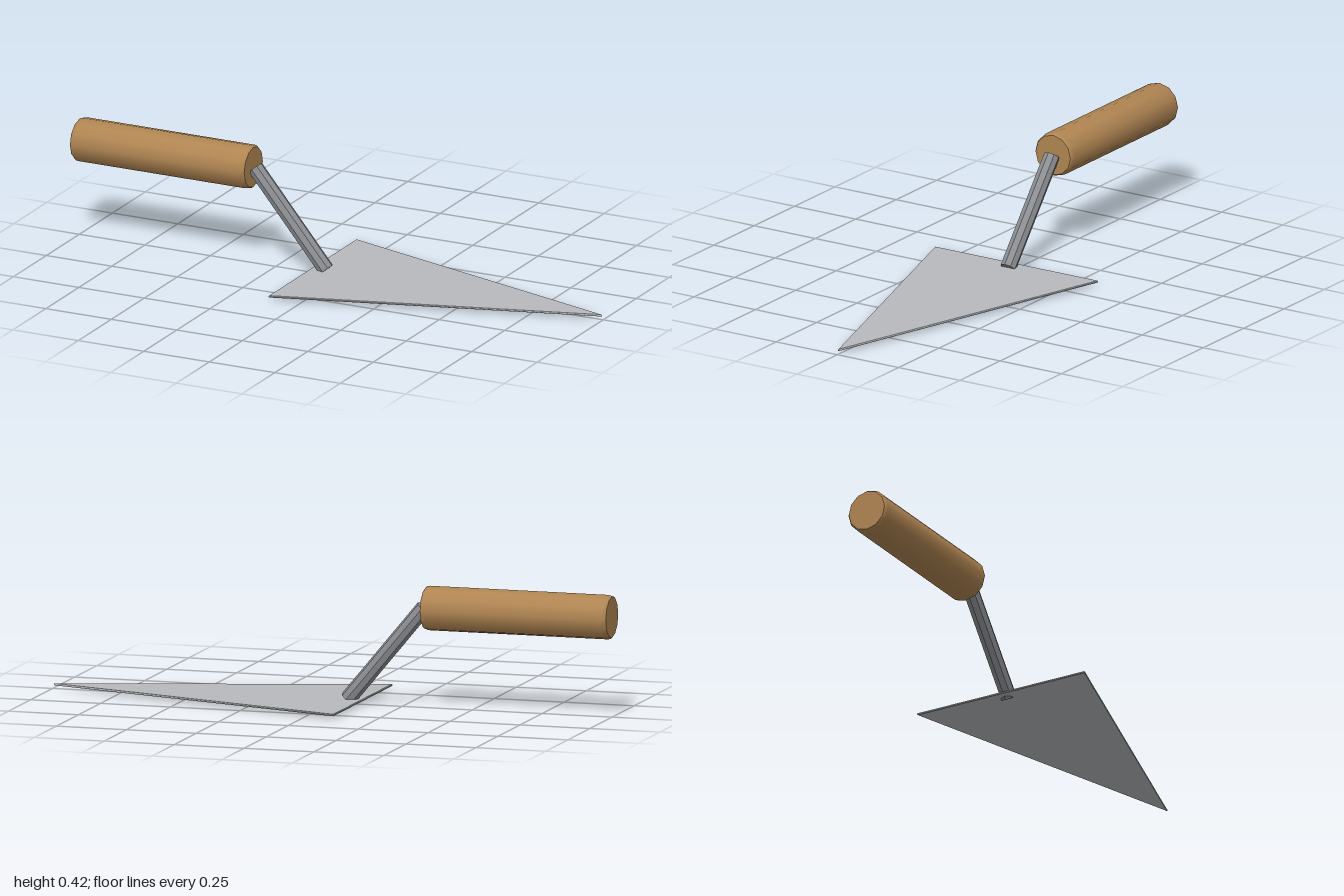
import * as THREE from 'three';
import { toCreasedNormals } from 'three/addons/utils/BufferGeometryUtils.js';

export function createModel() {
  const trowel = new THREE.Group();
  trowel.name = 'trowel';
  const material = (name, color) => {
    const m = new THREE.MeshStandardMaterial({ color });
    m.name = name;
    return m;
  };
  const wood = material('wood', 0xb08552);
  const bladeSteel = material('blade steel', 0xb8b9bc);
  const shankSteel = material('shank steel', 0x8c8e92);
  const add = (name, geometry, mat) => {
    const mesh = new THREE.Mesh(geometry, mat);
    mesh.name = name;
    trowel.add(mesh);
    return mesh;
  };

  // Handle: twelve-sided wooden grip with softened ends, lying along x
  const length = 0.665, radius = 0.077, bevel = 0.015;
  const profile = [
    [0, 0], [radius - 0.006, 0], [radius - 0.0015, bevel * 0.4], [radius, bevel],
    [radius, length - bevel], [radius - 0.0015, length - bevel * 0.4], [radius - 0.006, length], [0, length],
  ].map(([r, y]) => new THREE.Vector2(r, y));
  const grip = toCreasedNormals(new THREE.LatheGeometry(profile, 12), 0.6);
  grip.rotateZ(-Math.PI / 2);
  add('handle', grip, wood).position.set(-1, 0.345, 0);

  // Shank: eight-sided rod sloping from the handle down through the blade
  const top = new THREE.Vector3(-0.328, 0.345, 0);
  const foot = new THREE.Vector3(-0.057, 0.018, 0);
  const axis = top.clone().sub(foot);
  const rod = toCreasedNormals(new THREE.CylinderGeometry(0.028, 0.028, axis.length(), 8), 0.5);
  const shank = add('shank', rod, shankSteel);
  shank.position.copy(top).add(foot).multiplyScalar(0.5);
  shank.rotation.z = Math.atan2(-axis.x, axis.y);

  // Blade: thin pointed triangle with slightly bevelled edges
  const outline = new THREE.Shape([
    new THREE.Vector2(-0.108, -0.331),
    new THREE.Vector2(0.993, 0),
    new THREE.Vector2(-0.108, 0.331),
  ]);
  const plate = new THREE.ExtrudeGeometry(outline, {
    depth: 0.003, bevelEnabled: true, bevelThickness: 0.002, bevelSize: 0.002, bevelSegments: 1,
  });
  plate.rotateX(-Math.PI / 2);
  add('blade', plate, bladeSteel).position.y = 0.013;

  return trowel;
}
